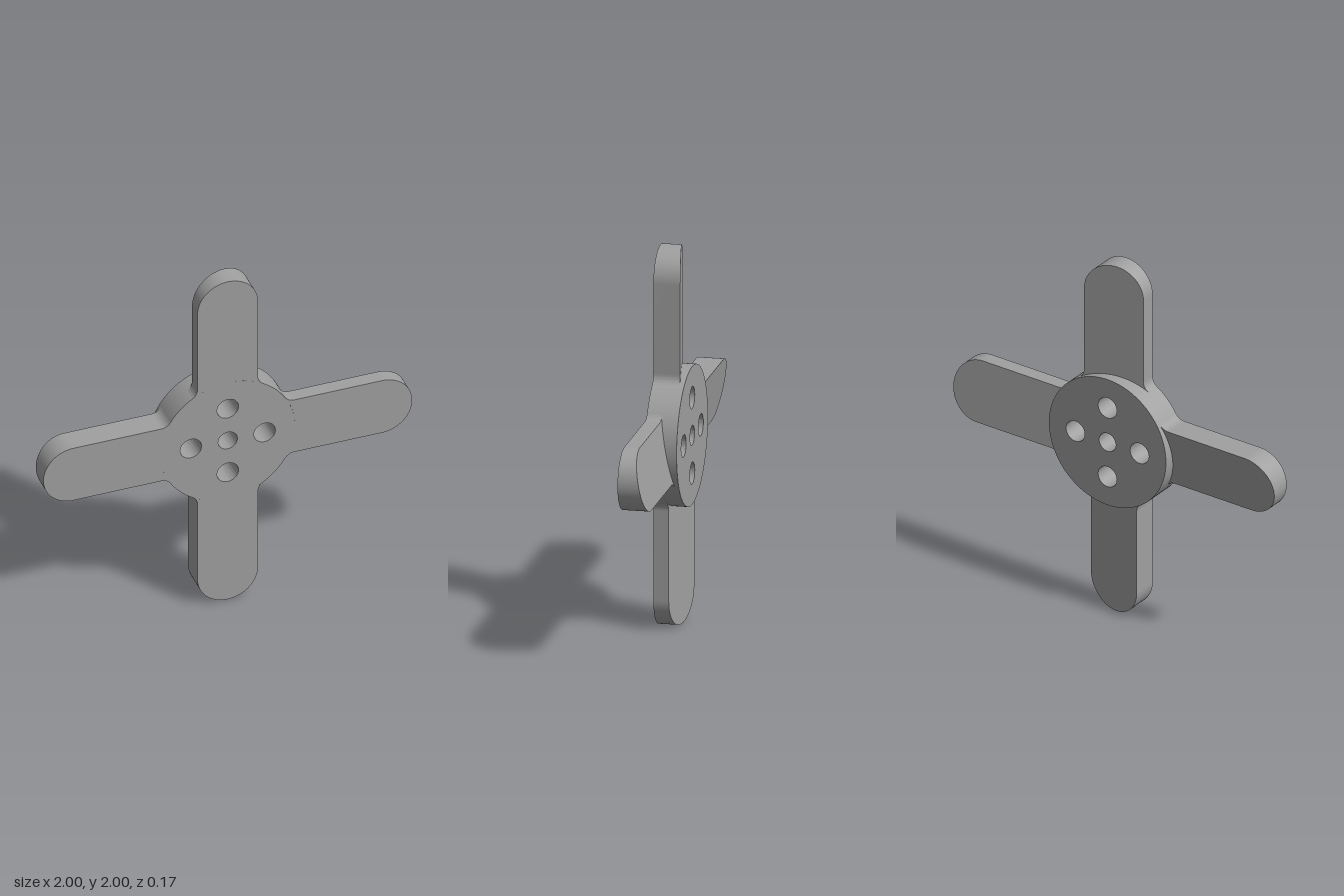
import * as THREE from 'three';
import { toCreasedNormals } from 'three/addons/utils/BufferGeometryUtils.js';

const HUB_R = 0.365;    // hub disc radius
const HALF_T = 0.083;   // half of the hub thickness
const HALF_W = 0.164;   // half of the blade width
const FILLET = 0.06;    // radius where blade meets hub
const BACK_MID = -0.027, BACK_RISE = 0.03; // sloped back of the blades

function extrude(shape) {
  const geometry = new THREE.ExtrudeGeometry(shape, {
    depth: 2 * HALF_T, bevelEnabled: false, curveSegments: 48,
  });
  return geometry.translate(0, 0, -HALF_T);
}

// Disc with one centre hole and four bolt holes
function hubGeometry() {
  const shape = new THREE.Shape().absarc(0, 0, HUB_R, 0, Math.PI * 2, false);
  const hole = (x, y, r) =>
    shape.holes.push(new THREE.Path().absarc(x, y, r, 0, Math.PI * 2, true));
  hole(0, 0, 0.052);
  for (let i = 0; i < 4; i++) {
    const a = i * Math.PI / 2;
    hole(0.2 * Math.cos(a), 0.2 * Math.sin(a), 0.058);
  }
  return toCreasedNormals(extrude(shape), 0.5);
}

// Upright round-tipped blade, filleted to the hub, with a back sloping across its width
function bladeGeometry() {
  const fx = HALF_W + FILLET;
  const fy = Math.sqrt((HUB_R + FILLET) ** 2 - fx ** 2);
  const a = Math.atan2(fy, fx);
  const tipY = 1 - HALF_W;
  const shape = new THREE.Shape();
  shape.absarc(0, 0, HUB_R, a, Math.PI - a, false);
  shape.absarc(-fx, fy, FILLET, -a, 0, false);
  shape.absarc(0, tipY, HALF_W, Math.PI, 0, true);
  shape.absarc(fx, fy, FILLET, Math.PI, Math.PI + a, false);

  const geometry = extrude(shape);
  const p = geometry.attributes.position;
  for (let i = 0; i < p.count; i++) {
    if (p.getZ(i) < 0) p.setZ(i, BACK_MID - BACK_RISE * p.getX(i) / HALF_W);
  }
  return toCreasedNormals(geometry, 0.5);
}

export function createModel() {
  const model = new THREE.Group();
  model.name = 'propeller';
  const grey = new THREE.MeshStandardMaterial({ color: 0xa0a0a0 });
  grey.name = 'grey';

  const hub = new THREE.Mesh(hubGeometry(), grey);
  hub.name = 'hub';
  hub.position.y = 1;
  model.add(hub);

  // Four identical blades around the hub
  const geometry = bladeGeometry();
  ['topBlade', 'leftBlade', 'bottomBlade', 'rightBlade'].forEach((name, i) => {
    const blade = new THREE.Mesh(geometry, grey);
    blade.name = name;
    blade.position.y = 1;
    blade.rotation.z = -i * Math.PI / 2;
    model.add(blade);
  });
  return model;
}
